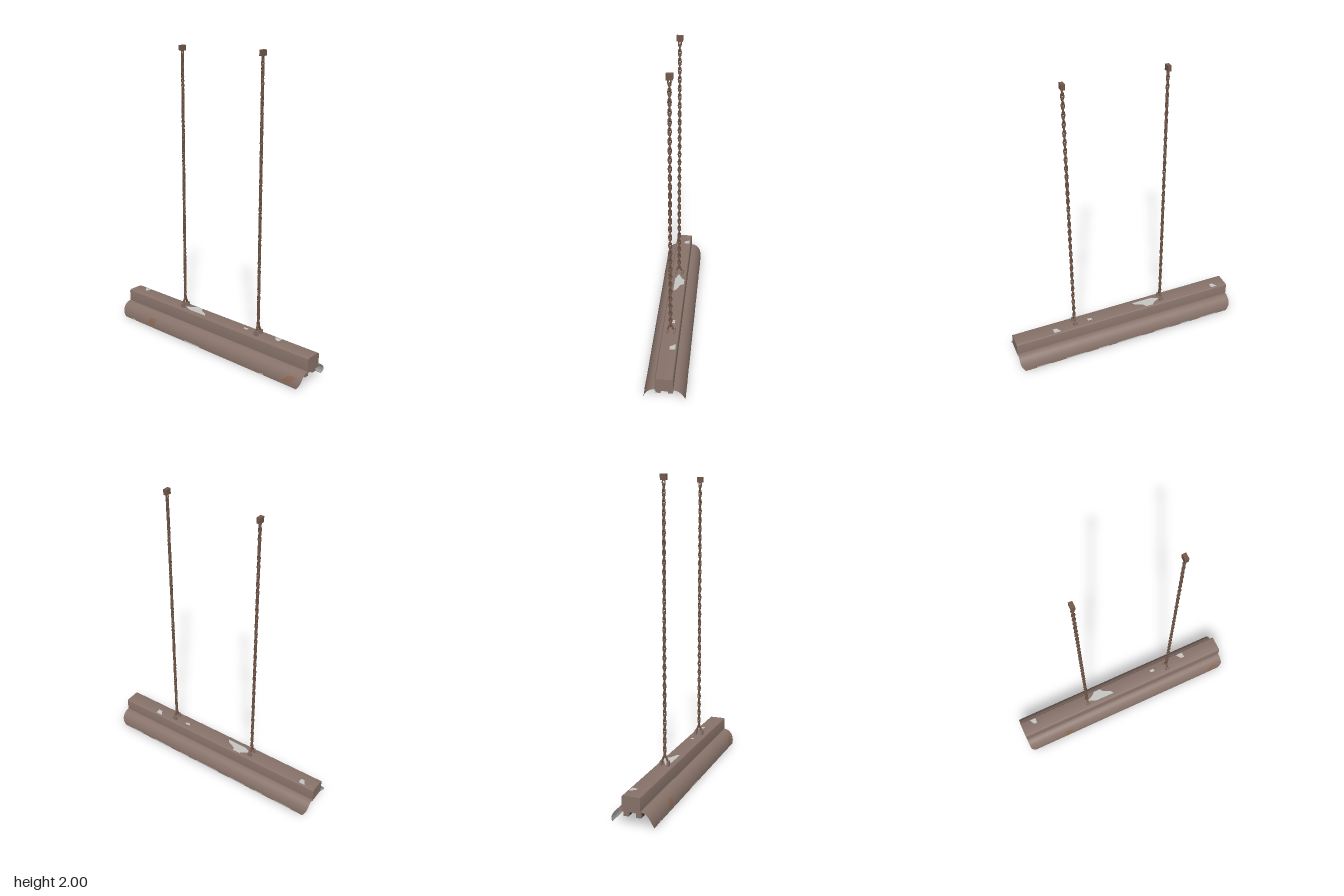
import * as THREE from 'three';
import { toCreasedNormals } from 'three/addons/utils/BufferGeometryUtils.js';

const mat = (name, color) => {
  const m = new THREE.MeshStandardMaterial({ color });
  m.name = name;
  return m;
};

export function createModel() {
  const root = new THREE.Group();
  const paint = mat('brown paint', 0x88736a);
  const pale = mat('pale enamel', 0xc6c6c4);
  const rust = mat('rust', 0x8e6850);
  const chainMetal = mat('chain metal', 0x74594a);
  const dark = mat('dark cap', 0x2e2825);
  const tubeGlass = mat('tube glass', 0xb4b4b0);

  const add = (name, geo, material, x = 0, y = 0, z = 0, parent = root) => {
    const m = new THREE.Mesh(geo, material);
    m.name = name;
    m.position.set(x, y, z);
    parent.add(m);
    return m;
  };

  // Housing: long channel with rounded upper edges
  const L = 0.81, W = 0.058, r = 0.014, top = 0.185, low = 0.088;
  const s = new THREE.Shape();
  s.moveTo(-W, low);
  s.lineTo(W, low);
  s.lineTo(W, top - r);
  s.quadraticCurveTo(W, top, W - r, top);
  s.lineTo(-W + r, top);
  s.quadraticCurveTo(-W, top, -W, top - r);
  s.closePath();
  const housing = new THREE.ExtrudeGeometry(s, { depth: 2 * L, bevelEnabled: false, curveSegments: 5 });
  housing.translate(0, 0, -L);
  housing.rotateY(Math.PI / 2);
  add('housing', toCreasedNormals(housing, 0.6), paint);
  add('housingUnderside', new THREE.BoxGeometry(1.6, 0.004, 0.11), pale, 0, low - 0.002, 0);

  // Curved wing surface; t runs from the rim (0) to the housing (1)
  const wing = (x0, x1, t0, t1, offset = 0, skew = 0, flip = false) => {
    const g = new THREE.PlaneGeometry(1, 1, 8, 14);
    const p = g.attributes.position;
    for (let i = 0; i < p.count; i++) {
      const v = p.getY(i) + 0.5;
      const a = (t0 + (t1 - t0) * v) * Math.PI / 2;
      const y = 0.1 * Math.sin(a);
      const end = L - 0.03 * Math.max(0, 1 - y / 0.07) ** 2;
      const x = x0 + (x1 - x0) * (p.getX(i) + 0.5) + skew * v;
      p.setXYZ(i, x * end / L, y + offset * Math.sin(a), W + (0.075 + offset) * Math.cos(a));
    }
    if (flip) {
      const idx = g.index.array;
      for (let i = 0; i < idx.length; i += 3) [idx[i], idx[i + 1]] = [idx[i + 1], idx[i]];
    }
    g.computeVertexNormals();
    return g;
  };

  // Front and back reflector wings, with chipped rims
  const chips = {
    front: [[-0.72, 0.03], [-0.17, 0.15], [0.52, 0.03]],
    back: [[-0.72, 0.1], [-0.5, 0.16], [-0.25, 0.08], [-0.1, 0.2], [0.2, 0.13], [0.42, 0.07], [0.58, 0.14]],
  };
  for (const side of ['front', 'back']) {
    const g = new THREE.Group();
    g.name = side + 'Wing';
    if (side === 'back') g.rotation.y = Math.PI;
    root.add(g);
    add('wingOuter', wing(-L, L, 0, 1), paint, 0, 0, 0, g);
    add('wingInner', wing(-L, L, 0, 1, -0.001, 0, true), pale, 0, 0, 0, g);
    for (const [x, w] of chips[side]) add('rimChip', wing(x, x + w, 0, 0.055, 0.001, -0.01), pale, 0, 0, 0, g);
    if (side === 'front') {
      for (const x of [-0.55, 0.68]) add('rustPatch', wing(x, x + 0.06, 0.13, 0.44, 0.001, 0.03), rust, 0, 0, 0, g);
    }
  }

  // Worn paint on top of the housing, outlines in x and z
  const worn = [
    [-0.21, -0.055, -0.16, -0.055, -0.145, -0.02, -0.09, 0.005, -0.075, 0.025, -0.22, 0.024, -0.28, 0, -0.23, -0.025],
    [-0.735, -0.057, -0.69, -0.057, -0.692, -0.008, -0.715, -0.008],
    [0.485, -0.057, 0.535, -0.057, 0.538, -0.008, 0.51, -0.008],
    [0.245, -0.02, 0.28, -0.02, 0.28, 0, 0.25, -0.002],
  ];
  for (const o of worn) {
    const pts = [];
    for (let i = 0; i < o.length; i += 2) pts.push(new THREE.Vector2(o[i], -Math.max(o[i + 1], -0.045)));
    const patch = new THREE.ShapeGeometry(new THREE.Shape(pts));
    patch.rotateX(-Math.PI / 2);
    add('wornPatch', patch, pale, 0, top + 0.001, 0);
  }

  // Two lamp tubes with sockets and dark end caps
  for (const z of [-0.039, 0.039]) {
    const tube = new THREE.CylinderGeometry(0.017, 0.017, 1.5, 16);
    tube.rotateZ(Math.PI / 2);
    add('lampTube', tube, tubeGlass, 0, 0.063, z);
    for (const e of [-1, 1]) {
      const cap = new THREE.CylinderGeometry(0.02, 0.02, 0.03, 16);
      cap.rotateZ(Math.PI / 2);
      add('tubeCap', cap, dark, e * 0.755, 0.063, z);
      add('socket', new THREE.BoxGeometry(0.022, 0.04, 0.032), paint, e * 0.78, 0.072, z);
    }
  }

  // Hanging chains with ceiling brackets and forked hooks
  const link = new THREE.TorusGeometry(0.0085, 0.0045, 6, 10);
  link.scale(1, 2.35, 1);
  for (const x of [-0.285, 0.375]) {
    const chain = new THREE.Group();
    chain.name = 'hangingChain';
    chain.position.x = x;
    root.add(chain);
    const count = 58, y0 = 0.262, y1 = 1.95;
    for (let i = 0; i < count; i++) {
      const m = add('chainLink', link, chainMetal, 0, y0 + (y1 - y0) * i / (count - 1), 0, chain);
      m.rotation.y = (i % 2) * Math.PI / 2;
    }
    add('ceilingBracket', new THREE.BoxGeometry(0.025, 0.036, 0.04), chainMetal, 0, 1.982, 0, chain);
    for (const e of [-1, 1]) {
      const leg = add('hookLeg', new THREE.BoxGeometry(0.012, 0.055, 0.009), chainMetal, 0, 0.232, e * 0.012, chain);
      leg.rotation.x = -e * 0.4;
      add('hookFoot', new THREE.BoxGeometry(0.03, 0.03, 0.014), paint, 0, 0.2, e * 0.023, chain);
    }
  }

  return root;
}
